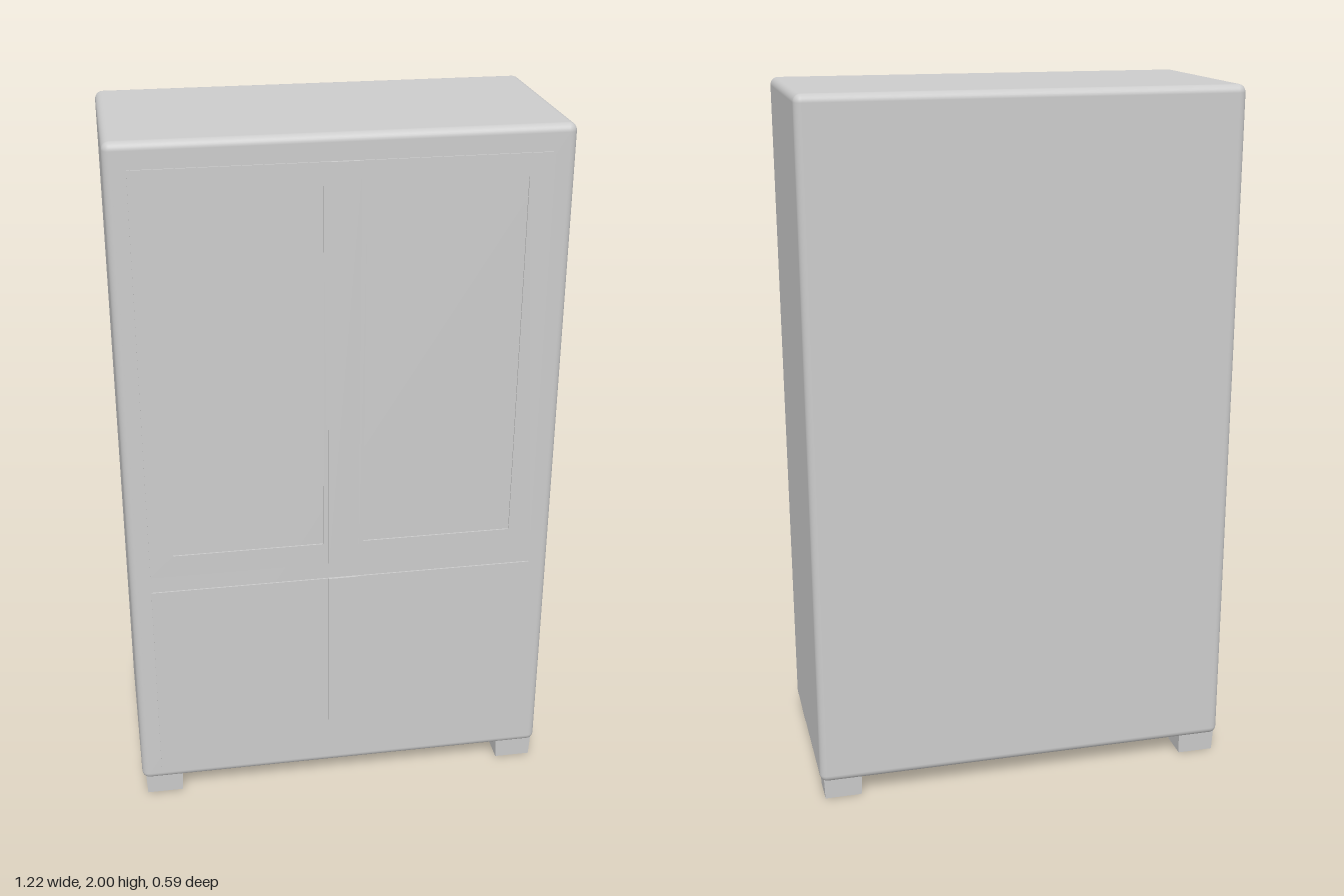
import * as THREE from 'three';
import { RoundedBoxGeometry } from 'three/addons/geometries/RoundedBoxGeometry.js';

const material = new THREE.MeshStandardMaterial({ color: 0xcccccc });

function rectPath(path, x0, y0, x1, y1) {
  path.moveTo(x0, y0);
  path.lineTo(x1, y0);
  path.lineTo(x1, y1);
  path.lineTo(x0, y1);
  path.closePath();
  return path;
}

export function createModel() {
  const group = new THREE.Group();
  const add = (name, geometry, x = 0, y = 0, z = 0) => {
    const mesh = new THREE.Mesh(geometry, material);
    mesh.name = name;
    mesh.position.set(x, y, z);
    group.add(mesh);
    return mesh;
  };

  // Cabinet body with softly rounded edges
  const bottom = 0.055, top = 2, back = -0.295, front = 0.287;
  add('body', new RoundedBoxGeometry(1.216, top - bottom, front - back, 4, 0.022),
    0, (top + bottom) / 2, (front + back) / 2);

  // Thin door leaves, the upper pair framing a recessed panel
  const thin = { depth: 0.005, bevelEnabled: false };
  for (const side of [-1, 1]) {
    const label = side > 0 ? 'left' : 'right';
    const x0 = side > 0 ? 0.043 : -0.55;
    const x1 = side > 0 ? 0.55 : -0.043;
    const upper = rectPath(new THREE.Shape(), x0, 0.76, x1, 1.93);
    const p0 = side > 0 ? 0.057 : -0.483;
    const p1 = side > 0 ? 0.483 : -0.057;
    upper.holes.push(rectPath(new THREE.Path(), p0, 0.825, p1, 1.868));
    add(label + 'UpperDoor', new THREE.ExtrudeGeometry(upper, thin), 0, 0, front - 0.001);

    const lower = rectPath(new THREE.Shape(), x0, 0.082, x1, 0.71);
    add(label + 'LowerDoor', new THREE.ExtrudeGeometry(lower, thin), 0, 0, front - 0.001);
  }

  // Cover strips over the joint between the doors
  for (const [name, y0, y1] of [['upperStrip', 0.76, 1.93], ['lowerStrip', 0.082, 0.71]]) {
    add(name, new THREE.BoxGeometry(0.086, y1 - y0, 0.01), 0, (y0 + y1) / 2, front + 0.002);
  }

  // Four short feet, narrowing slightly towards the floor
  for (const x of [-0.542, 0.542]) {
    for (const z of [-0.238, 0.232]) {
      const geometry = new THREE.BoxGeometry(0.112, 0.075, 0.096);
      const pos = geometry.attributes.position;
      for (let i = 0; i < pos.count; i++) {
        if (pos.getY(i) < 0) {
          pos.setX(i, pos.getX(i) * 0.94);
          pos.setZ(i, pos.getZ(i) * 0.94);
        }
      }
      geometry.computeVertexNormals();
      add((z > 0 ? 'front' : 'back') + (x > 0 ? 'Left' : 'Right') + 'Foot', geometry, x, 0.0375, z);
    }
  }
  return group;
}
